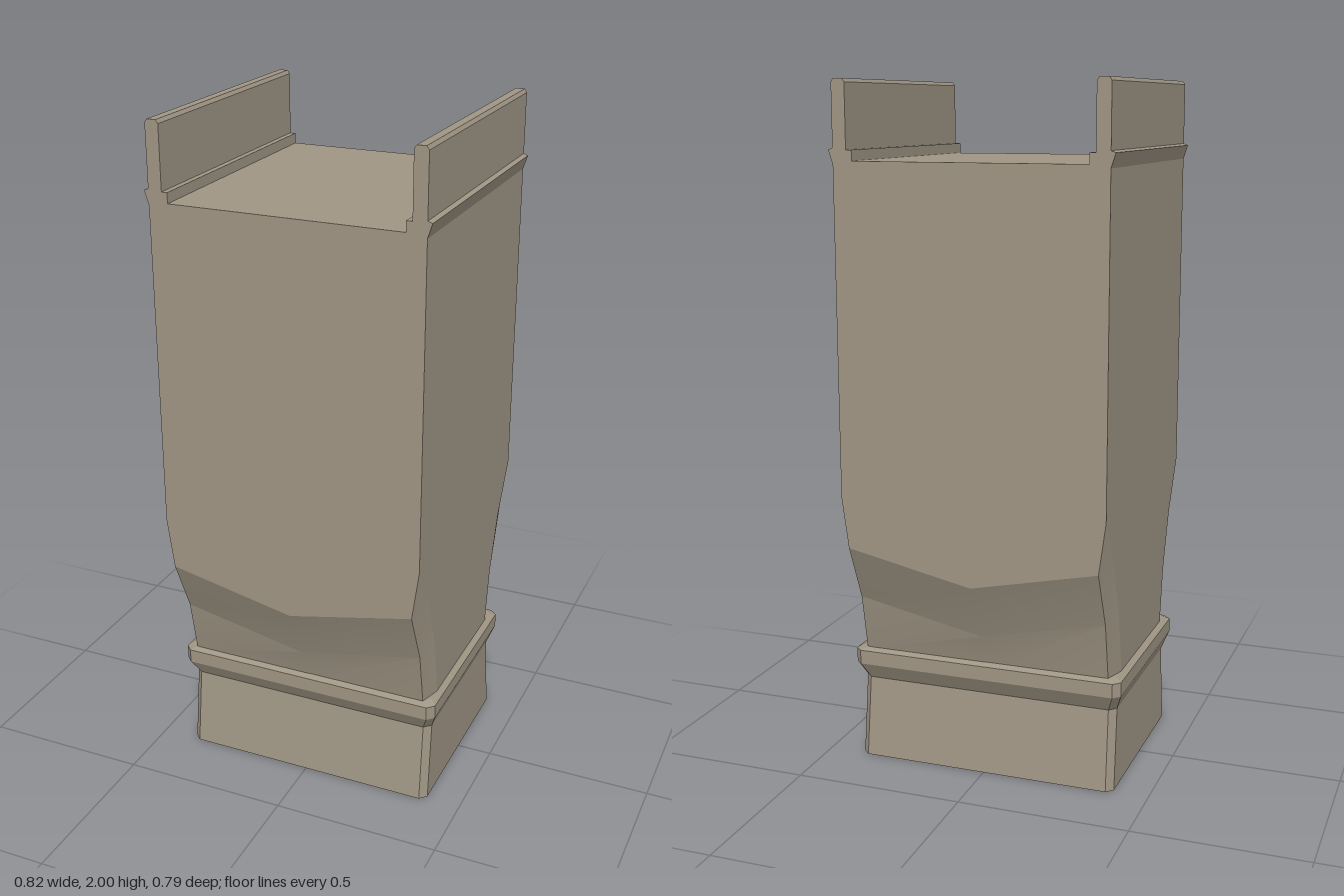
import * as THREE from 'three';
import { toCreasedNormals } from 'three/addons/utils/BufferGeometryUtils.js';

// Mirror a quarter outline of [x, y, z] points into a full closed ring.
function fullRing(quarter) {
  const back = quarter.slice(0, -1).reverse().map(([x, y, z]) => [x, y, -z]);
  const half = [...quarter, ...back];
  const other = half.slice(1, -1).reverse().map(([x, y, z]) => [-x, y, z]);
  return [...half, ...other];
}

// Skin a stack of quarter outlines, closing both ends.
function loft(quarters, crease) {
  const rings = quarters.map(fullRing);
  const n = rings[0].length;
  const pos = [];
  const tri = (...p) => p.forEach((v) => pos.push(...v));
  for (let i = 0; i < rings.length - 1; i++) {
    for (let j = 0; j < n; j++) {
      const k = (j + 1) % n;
      const [a, b, c, d] = [rings[i][j], rings[i][k], rings[i + 1][k], rings[i + 1][j]];
      tri(a, b, c);
      tri(a, c, d);
    }
  }
  const first = rings[0], last = rings[rings.length - 1];
  for (let j = 0; j < n; j++) {
    const k = (j + 1) % n;
    tri([0, first[0][1], 0], first[k], first[j]);
    tri([0, last[0][1], 0], last[j], last[k]);
  }
  const g = new THREE.BufferGeometry();
  g.setAttribute('position', new THREE.Float32BufferAttribute(pos, 3));
  return toCreasedNormals(g, crease);
}

export function createModel() {
  const model = new THREE.Group();
  const stone = new THREE.MeshStandardMaterial({ color: 0x9f9584 });
  stone.name = 'warm grey stone';
  const add = (name, geometry) => {
    const mesh = new THREE.Mesh(geometry, stone);
    mesh.name = name;
    model.add(mesh);
  };

  // Shaft: square above, narrowing front and back to a curved waist.
  // Each row: front middle, front corner, side crease, side middle.
  const W = 0.395;
  add('shaft', loft([
    [[0, 0.335, 0.285], [0.375, 0.335, 0.285], [W, 0.335, 0.22], [W, 0.335, 0]],
    [[0, 0.43, 0.315], [0.375, 0.51, 0.32], [W, 0.51, 0.25], [W, 0.51, 0]],
    [[0, 0.6, W], [0.375, 0.68, W], [W, 0.68, 0.31], [W, 0.68, 0]],
    [[0, 0.83, W], [W, 0.83, W], [W, 0.83, W], [W, 0.83, 0]],
    [[0, 1.78, W], [W, 1.78, W], [W, 1.78, W], [W, 1.78, 0]],
  ], 0.22));

  // Base with a projecting collar and chamfered corners: [y, half width, half depth].
  add('baseCollar', loft([
    [0, 0.395, 0.3],
    [0.24, 0.393, 0.272],
    [0.29, 0.412, 0.302],
    [0.332, 0.412, 0.302],
    [0.342, 0.395, 0.286],
  ].map(([y, x, z]) => [[0, y, z], [x - 0.02, y, z], [x, y, z - 0.02], [x, y, 0]]), 0.1));

  // Upright side rails with an inner step and an outer lip.
  const profile = [
    [0.395, 1.77], [0.408, 1.81], [0.395, 1.815], [0.395, 1.99], [0.388, 2], [0.362, 2],
    [0.355, 1.99], [0.355, 1.81], [0.338, 1.81], [0.338, 1.77],
  ];
  for (const [name, s] of [['leftRail', 1], ['rightRail', -1]]) {
    const shape = new THREE.Shape(profile.map(([x, y]) => new THREE.Vector2(s * x, y)));
    const g = new THREE.ExtrudeGeometry(shape, { depth: 2 * W, bevelEnabled: false });
    add(name, g.translate(0, 0, -W));
  }
  return model;
}
